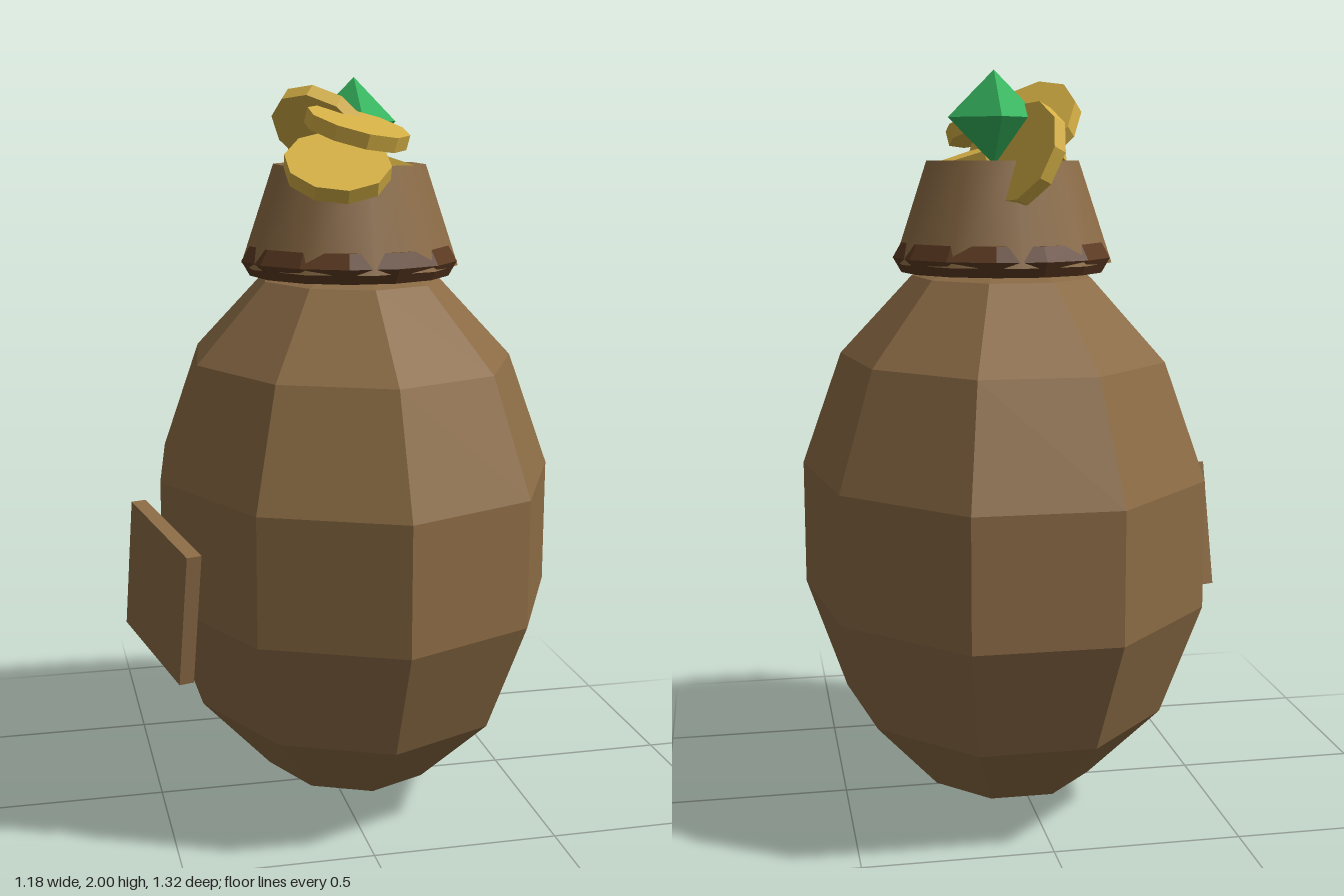
import * as THREE from 'three';

// Faceted copy of a geometry
function facet(geo) {
  const g = geo.index ? geo.toNonIndexed() : geo;
  g.computeVertexNormals();
  return g;
}

export function createModel() {
  const model = new THREE.Group();
  model.name = 'treasureSack';

  const material = (name, color) => {
    const m = new THREE.MeshStandardMaterial({ color });
    m.name = name;
    return m;
  };
  const cloth = material('brownCloth', 0x8b6b45);
  const cord = material('darkCord', 0x5c3a21);
  const gold = material('gold', 0xd4af45);
  const green = material('emerald', 0x35b55f);

  const add = (name, geo, mat, x, y, z) => {
    const mesh = new THREE.Mesh(geo, mat);
    mesh.name = name;
    mesh.position.set(x, y, z);
    model.add(mesh);
    return mesh;
  };

  // Sack body: nine-sided stretched sphere with a corner to the front
  const body = new THREE.SphereGeometry(1, 9, 7, Math.PI / 2);
  body.scale(0.566, 0.767, 0.7);
  add('sackBody', facet(body), cloth, 0.05, 0.772, -0.023);

  // Gathered neck and the cord tied round it
  add('sackNeck', new THREE.CylinderGeometry(0.207, 0.297, 0.27, 10), cloth, 0.05, 1.635, -0.02);
  const ring = new THREE.TorusGeometry(0.252, 0.046, 6, 14);
  ring.rotateX(Math.PI / 2);
  add('neckCord', facet(ring), cord, 0.05, 1.515, -0.02);

  // Patch at the side
  const patch = add('sidePatch', new THREE.BoxGeometry(0.04, 0.36, 0.36), cloth, -0.512, 0.69, 0.25);
  patch.rotation.set(0.175, 0.29, 0, 'YXZ');

  // Coins: centre, then the direction each face points
  const coinGeo = facet(new THREE.CylinderGeometry(0.14, 0.14, 0.04, 10));
  const up = new THREE.Vector3(0, 1, 0);
  const coins = [
    [[0.05, 1.865, 0.07], [0.2, 0.95, 0.22]],
    [[-0.022, 1.77, 0.155], [-0.05, 0.85, 0.5]],
    [[-0.01, 1.86, -0.1], [0.53, 0.65, -0.53]],
    [[0.03, 1.785, -0.205], [0.8, 0.37, -0.47]],
    [[0.115, 1.775, -0.01], [0.3, 0.95, 0]],
  ];
  coins.forEach(([p, n], i) => {
    const coin = add('coin' + (i + 1), coinGeo, gold, ...p);
    coin.quaternion.setFromUnitVectors(up, new THREE.Vector3(...n).normalize());
  });

  // Gem
  add('gem', new THREE.OctahedronGeometry(0.12), green, 0.096, 1.88, -0.162);

  return model;
}
